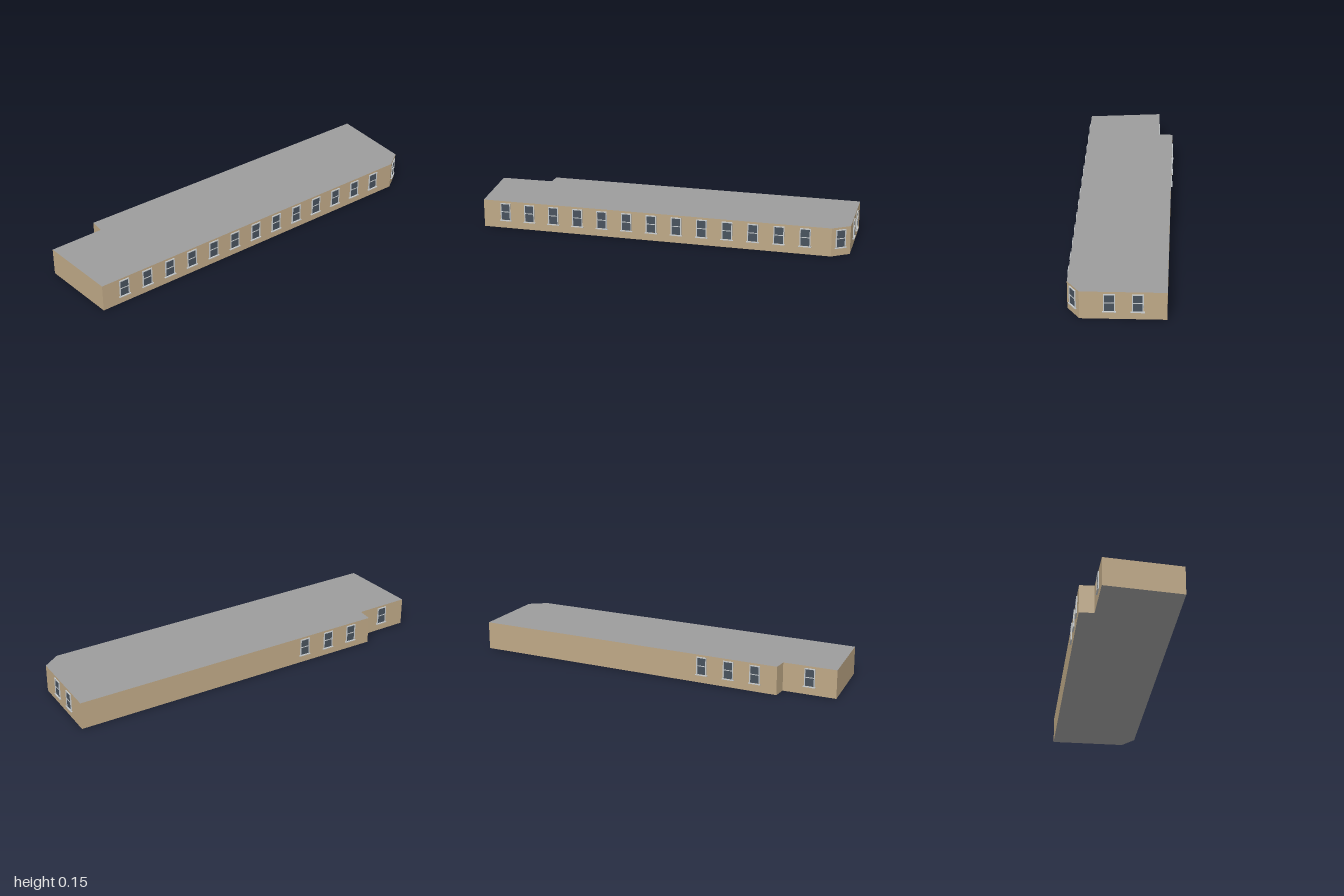
import * as THREE from 'three';

const HEIGHT = 0.147;

// Footprint corners (x, z), running counter-clockwise seen from above
const A = [-1, 0.005], G = [-0.89, 0.39], F = [0.925, 0.088], E = [1, 0.013];
const D = [0.93, -0.39], S = [-0.21, -0.205], C = [-0.735, -0.12], B = [-0.725, -0.045];

const wallMat = new THREE.MeshStandardMaterial({ name: 'tanWall', color: 0xbea886 });
const roofMat = new THREE.MeshStandardMaterial({ name: 'greyRoof', color: 0x9c9c9c });
const frameMat = new THREE.MeshStandardMaterial({ name: 'paleFrame', color: 0xc6cacc });
const glassMat = new THREE.MeshStandardMaterial({ name: 'darkGlass', color: 0x48525d });

function addBox(group, name, mat, w, h, d, x, y) {
  const mesh = new THREE.Mesh(new THREE.BoxGeometry(w, h, d), mat);
  mesh.name = name;
  mesh.position.set(x, y, d / 2);
  group.add(mesh);
}

// Sash window lying on the local z = 0 plane, facing +z
function makeWindow() {
  const win = new THREE.Group();
  win.name = 'window';
  const w = 0.055, y0 = 0.042, y1 = 0.136, t = 0.005;
  const mid = (y0 + y1) / 2;
  addBox(win, 'glass', glassMat, w - t, y1 - y0 - t, 0.002, 0, mid);
  for (const s of [-1, 1]) addBox(win, 'frameSide', frameMat, t, y1 - y0, 0.005, s * (w - t) / 2, mid);
  addBox(win, 'frameTop', frameMat, w - 2 * t, t, 0.005, 0, y1 - t / 2);
  addBox(win, 'middleRail', frameMat, w - 2 * t, 0.004, 0.004, 0, mid);
  addBox(win, 'sill', frameMat, 0.065, 0.004, 0.008, 0, y0 - 0.001);
  return win;
}

// Places windows at fractions along the wall from p to q
function addWindows(parent, name, p, q, fractions) {
  const dx = q[0] - p[0], dz = q[1] - p[1];
  const row = new THREE.Group();
  row.name = name;
  for (const f of fractions) {
    const win = makeWindow();
    win.position.set(p[0] + dx * f, 0, p[1] + dz * f);
    win.rotation.y = Math.atan2(-dz, dx);
    row.add(win);
  }
  parent.add(row);
}

export function createModel() {
  const model = new THREE.Group();
  model.name = 'building';

  // Flat-roofed body: caps are roof grey, sides are wall tan
  const shape = new THREE.Shape([A, G, F, E, D, S, C, B].map(([x, z]) => new THREE.Vector2(x, -z)));
  const geo = new THREE.ExtrudeGeometry(shape, { depth: HEIGHT, bevelEnabled: false });
  geo.rotateX(-Math.PI / 2);
  const body = new THREE.Mesh(geo, [roofMat, wallMat]);
  body.name = 'wallsAndRoof';
  model.add(body);

  // Windows, wall by wall
  addWindows(model, 'frontWindows', G, F, Array.from({ length: 13 }, (_, i) => 0.066 + i * 0.0719));
  addWindows(model, 'cornerWindow', F, E, [0.48]);
  addWindows(model, 'leftWindows', E, D, [0.34, 0.665]);
  addWindows(model, 'backWindows', S, C, [0.235, 0.51, 0.78]);
  addWindows(model, 'recessWindow', B, A, [0.5]);
  return model;
}
